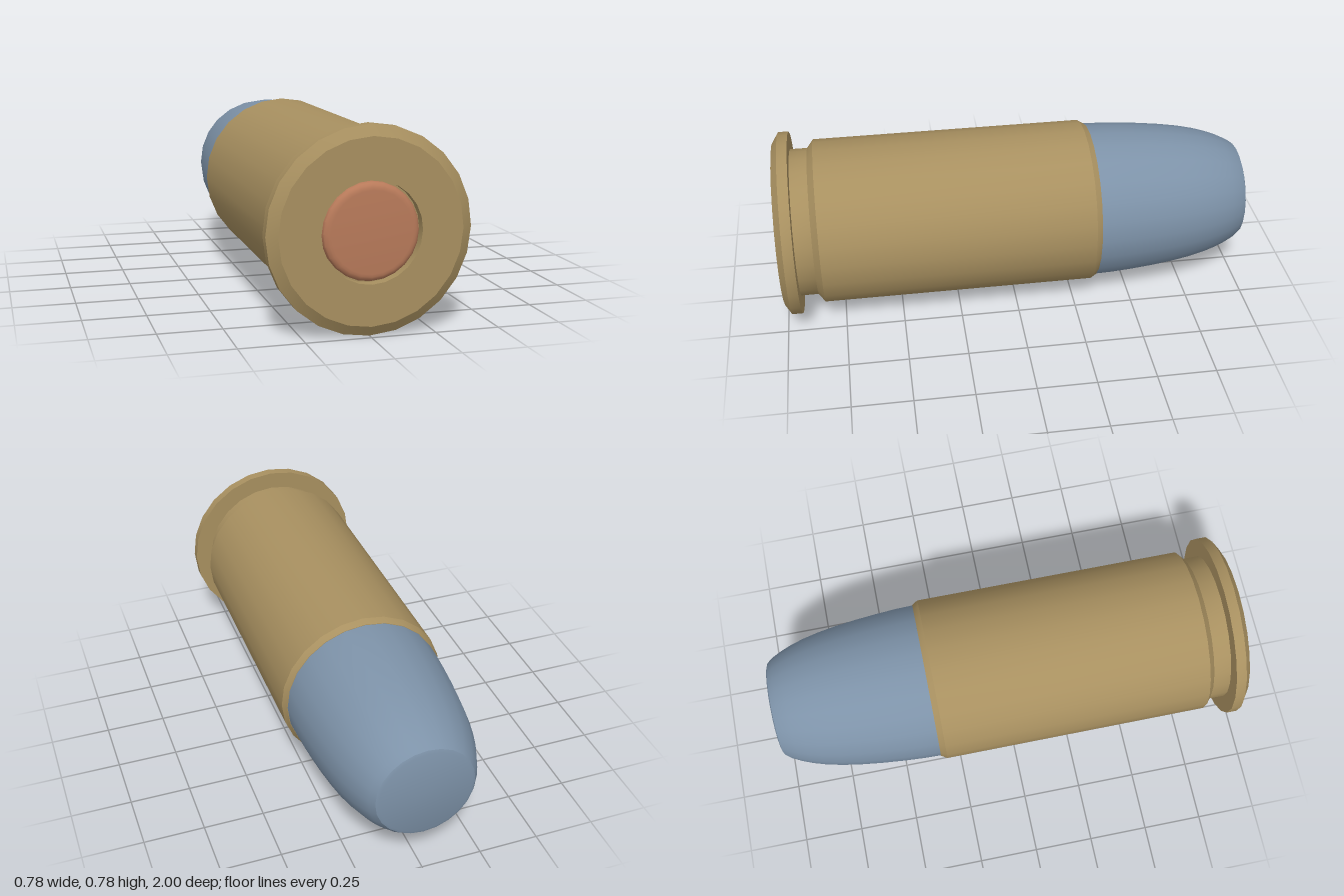
import * as THREE from 'three';
import { toCreasedNormals } from 'three/addons/utils/BufferGeometryUtils.js';

const SIDES = 24;
const AXIS_Y = 0.392;

// Turned part: profile of [radius, z] pairs listed from back (-z) to front (+z)
function turned(name, profile, color) {
  const points = profile.map(([r, z]) => new THREE.Vector2(r, z));
  const lathe = new THREE.LatheGeometry(points, SIDES);
  lathe.rotateX(Math.PI / 2);
  const mesh = new THREE.Mesh(
    toCreasedNormals(lathe, 0.5),
    new THREE.MeshStandardMaterial({ color })
  );
  mesh.name = name;
  mesh.position.y = AXIS_Y;
  return mesh;
}

export function createModel() {
  const group = new THREE.Group();
  group.name = 'cartridge';

  // Flat-nosed bullet, seated inside the case mouth
  group.add(turned('bullet', [
    [0, -1], [0.19, -1], [0.203, -0.995], [0.222, -0.97], [0.242, -0.93],
    [0.26, -0.885], [0.277, -0.83], [0.293, -0.76], [0.306, -0.68],
    [0.317, -0.59], [0.326, -0.49], [0.331, -0.41], [0.333, -0.34], [0.333, -0.3],
  ], 0x7d92a8));

  // Case: bevelled mouth, straight body, extractor groove, rim and primer pocket
  group.add(turned('case', [
    [0.325, -0.3], [0.325, -0.34], [0.335, -0.34], [0.35, -0.315], [0.35, 0.83],
    [0.315, 0.857], [0.315, 0.93], [0.391, 0.93], [0.391, 0.973],
    [0.35, 1], [0.192, 1], [0.192, 0.96], [0, 0.96],
  ], 0xa89060));

  // Primer cap with a rounded edge
  group.add(turned('primer', [
    [0.184, 0.96], [0.184, 0.978], [0.181, 0.987], [0.174, 0.994],
    [0.165, 0.998], [0.155, 0.999], [0, 0.999],
  ], 0xb87a5a));

  return group;
}
